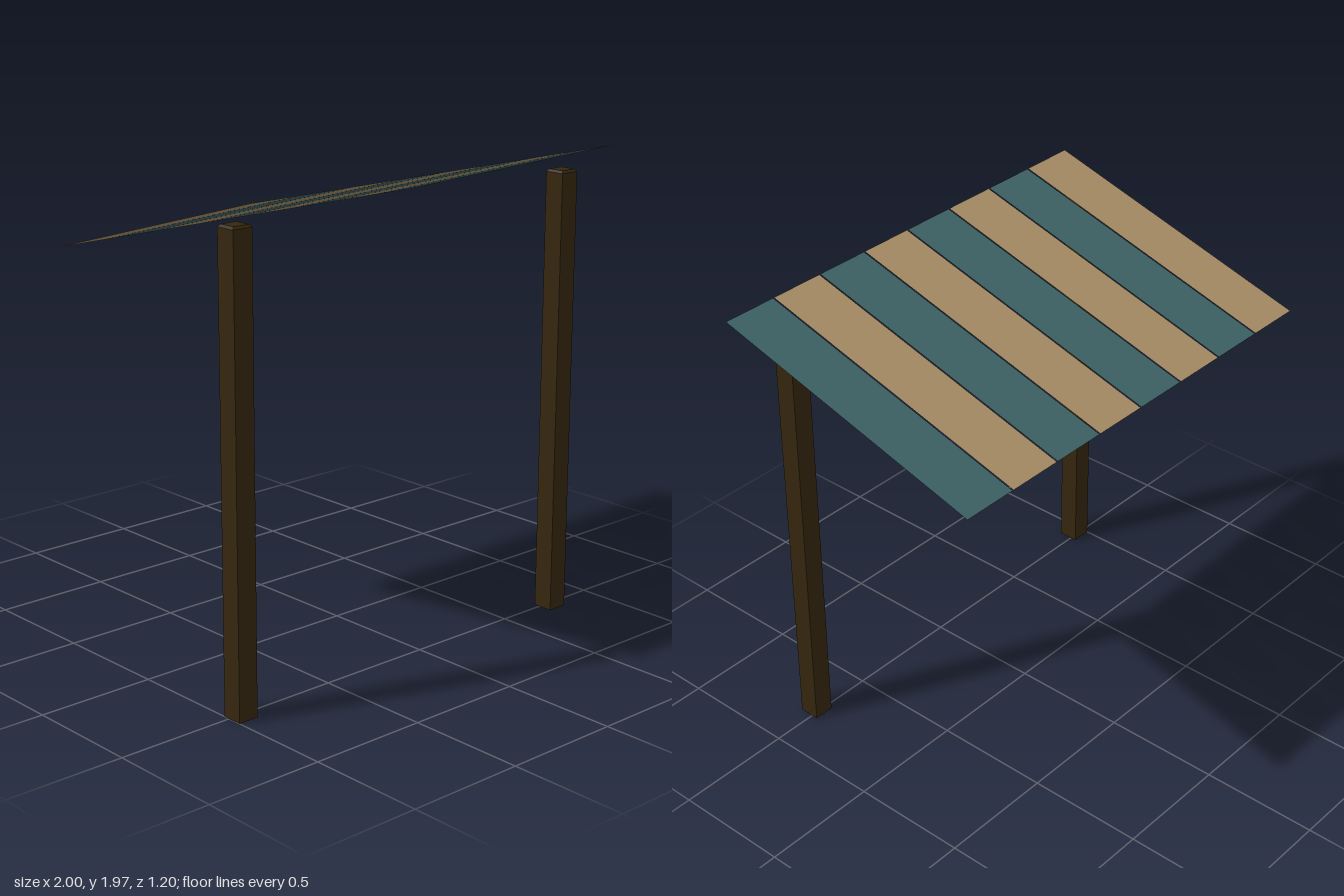
import * as THREE from 'three';

export function createModel() {
  const model = new THREE.Group();
  model.name = 'awning';

  const tan = new THREE.MeshStandardMaterial({ name: 'tan cloth', color: 0xa68b64, side: THREE.DoubleSide });
  const teal = new THREE.MeshStandardMaterial({ name: 'teal cloth', color: 0x3d6265, side: THREE.DoubleSide });
  const wood = new THREE.MeshStandardMaterial({ name: 'dark wood', color: 0x35270f, flatShading: true });

  // Sloping canopy: eight flat cloth strips, high at the front, low at the back
  const canopy = new THREE.Group();
  canopy.name = 'canopy';
  const rise = 0.343, depth = 1.2, count = 8, left = -0.955, pitch = 0.2445, gap = 0.005;
  const strip = new THREE.PlaneGeometry(pitch - gap, Math.hypot(rise, depth));
  strip.rotateX(-Math.PI / 2 - Math.atan2(rise, depth));
  for (let i = 0; i < count; i++) {
    const mesh = new THREE.Mesh(strip, i % 2 ? teal : tan);
    mesh.name = `clothStrip${i + 1}`;
    mesh.position.set(left + pitch * (i + 0.5), 1.798, 0);
    canopy.add(mesh);
  }
  model.add(canopy);

  // Two square front posts with a small chamfer at the top
  const height = 1.885, r = 0.044 * Math.SQRT2;
  const profile = [[0, 0], [r, 0], [r, height - 0.01], [r - 0.012, height], [0, height]]
    .map(([x, y]) => new THREE.Vector2(x, y));
  const postGeometry = new THREE.LatheGeometry(profile, 4, Math.PI / 4);
  for (const [name, x] of [['rightPost', -0.956], ['leftPost', 0.76]]) {
    const post = new THREE.Mesh(postGeometry, wood);
    post.name = name;
    post.position.set(x, 0, 0.517);
    model.add(post);
  }

  return model;
}
